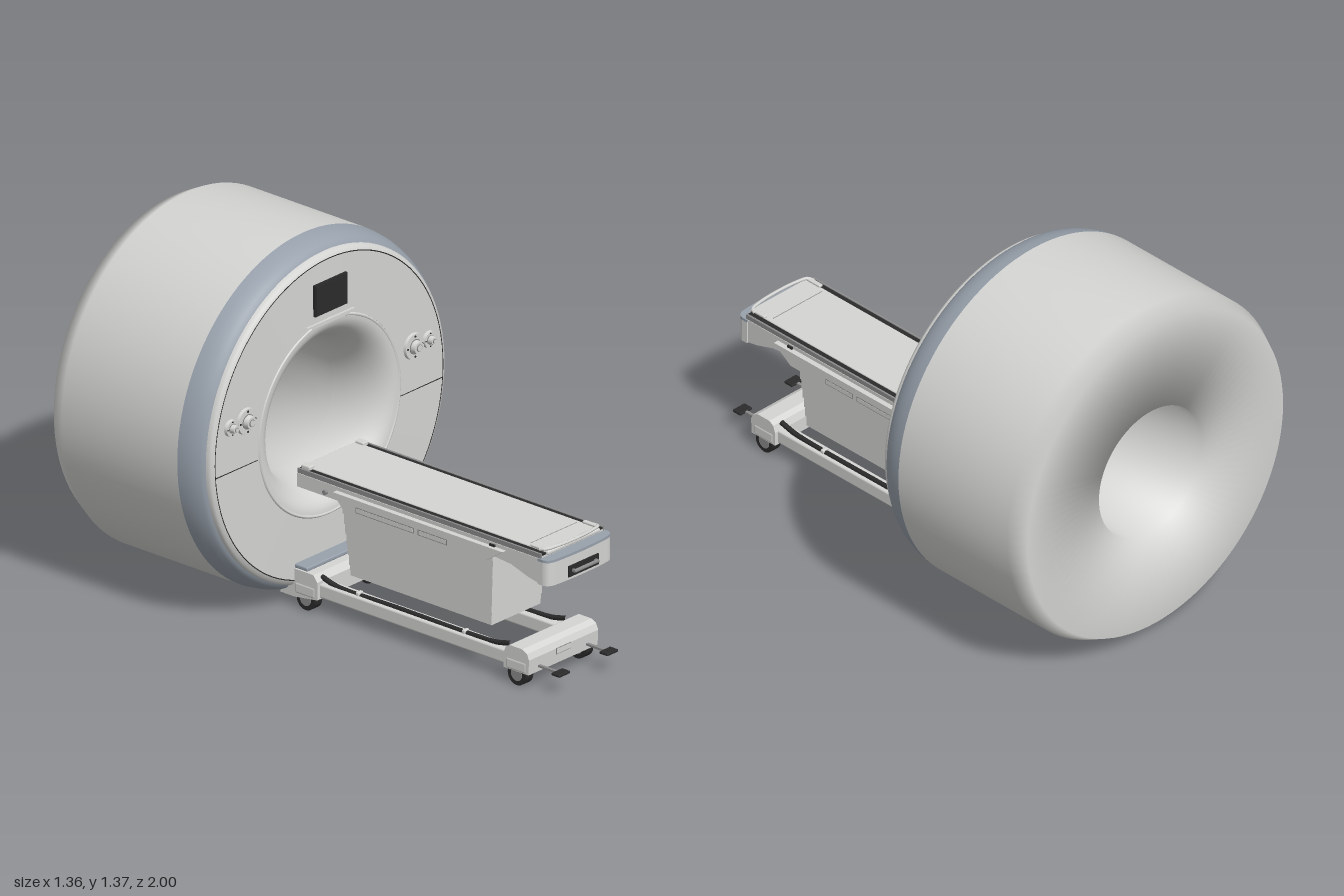
import * as THREE from 'three';
import { RoundedBoxGeometry } from 'three/addons/geometries/RoundedBoxGeometry.js';

const mat = (name, color) => Object.assign(new THREE.MeshStandardMaterial({ color }), { name });

export function createModel() {
  const shell = mat('shell grey', 0xd5d5d3);
  const trim = mat('blue grey trim', 0x98a1ac);
  const dark = mat('dark rubber', 0x2b2b2b);
  const metal = mat('mid grey', 0x8c8c8c);
  const model = new THREE.Group();
  model.name = 'scanner';

  const add = (name, geo, m, x = 0, y = 0, z = 0) => {
    const mesh = new THREE.Mesh(geo, m);
    mesh.name = name;
    mesh.position.set(x, y, z);
    model.add(mesh);
    return mesh;
  };
  const box = (name, w, h, d, m, x, y, z, r = 0) => add(name,
    r ? new RoundedBoxGeometry(w, h, d, 3, r) : new THREE.BoxGeometry(w, h, d), m, x, y, z);
  // surface of revolution about the z axis; profile points are (radius, z)
  const CY = 0.69;
  const ring = (name, pts, m) => add(name, new THREE.LatheGeometry(
    pts.map(p => new THREE.Vector2(p[0], p[1])), 96).rotateX(Math.PI / 2), m, 0, CY, 0);
  // side outline in (z, y), extruded across the width
  const sideProfile = (name, pts, w, m, x = 0) => {
    const shape = new THREE.Shape(pts.map(p => new THREE.Vector2(p[0], p[1])));
    const geo = new THREE.ExtrudeGeometry(shape, { depth: w, bevelEnabled: false });
    return add(name, geo.translate(0, 0, -w / 2).rotateY(-Math.PI / 2), m, x);
  };
  // disc or knob facing the front
  const disc = (name, r1, r2, h, m, x, y, z, n = 32) =>
    add(name, new THREE.CylinderGeometry(r2, r1, h, n).rotateX(Math.PI / 2), m, x, y, z);

  // ---- Gantry: bore, back face and drum share soft normals
  ring('gantryShell', [[0.26, -0.46], [0.26, -0.975], [0.645, -1.0], [0.68, -0.93], [0.68, -0.375]], shell);
  ring('gantryTrimRing', [[0.68, -0.375], [0.676, -0.345], [0.667, -0.315], [0.655, -0.29],
    [0.645, -0.279], [0.634, -0.274]], trim);
  ring('frontPanelEdge', [[0.638, -0.282], [0.637, -0.266], [0.631, -0.256], [0.618, -0.25]], shell);
  ring('panelGap', [[0.618, -0.25], [0.614, -0.25]], dark);
  ring('frontPanel', [[0.614, -0.25], [0.385, -0.248]], shell);
  ring('boreLip', [[0.385, -0.25], [0.383, -0.245], [0.378, -0.243], [0.374, -0.247]], shell);
  const mouth = [];
  for (let i = 0; i <= 16; i++) {
    const a = (i / 16) * Math.PI / 2;
    mouth.push([0.374 - 0.114 * Math.sin(a), -0.46 + 0.213 * Math.cos(a)]);
  }
  ring('boreMouth', mouth, shell);
  for (const s of [-1, 1]) box('panelSeam', 0.23, 0.003, 0.004, dark, s * 0.5, 0.64, -0.25);

  // ---- Display and ledge
  box('displayFrame', 0.174, 0.122, 0.016, dark, 0, 1.165, -0.246);
  box('displayScreen', 0.164, 0.112, 0.004, dark, 0, 1.165, -0.237);
  const ledge = new THREE.Shape([[-0.127, 0.014], [-0.095, 0], [0.095, 0], [0.127, 0.014]]
    .map(p => new THREE.Vector2(...p)));
  add('displayLedge', new THREE.ExtrudeGeometry(ledge, { depth: 0.02, bevelEnabled: false }),
    shell, 0, 1.06, -0.258);

  // ---- Control dials on both sides
  for (const s of [-1, 1]) {
    for (const [x, r] of [[0.452, 0.052], [0.535, 0.033]]) {
      disc('dialPlate', r, r - 0.003, 0.014, shell, s * x, 0.815, -0.245);
      disc('dialGroove', r * 0.56, r * 0.56, 0.012, metal, s * x, 0.815, -0.242);
      disc('dialKnob', r * 0.53, r * 0.44, 0.026, shell, s * x, 0.815, -0.231);
      disc('dialCapRim', r * 0.27, r * 0.27, 0.003, metal, s * x, 0.815, -0.217);
      disc('dialCap', r * 0.22, r * 0.22, 0.004, shell, s * x, 0.815, -0.216);
      for (let i = 0; i < 4; i++) {
        const a = i * Math.PI / 2;
        disc('dialButton', r * 0.08, r * 0.08, 0.004, dark,
          s * x + Math.cos(a) * r * 0.76, 0.815 + Math.sin(a) * r * 0.76, -0.238, 10);
      }
    }
  }

  // ---- Patient table
  sideProfile('tableFrame', [[0.92, 0.52], [-0.25, 0.52], [-0.25, 0.467], [0.7, 0.467],
    [0.78, 0.46], [0.86, 0.434], [0.92, 0.422]], 0.344, shell);
  // head end, rounded in plan
  const head = new THREE.Shape();
  head.moveTo(-0.177, -0.91);
  head.lineTo(-0.177, -0.935);
  head.quadraticCurveTo(-0.172, -0.96, -0.14, -0.964);
  head.quadraticCurveTo(0, -0.976, 0.14, -0.964);
  head.quadraticCurveTo(0.172, -0.96, 0.177, -0.935);
  head.lineTo(0.177, -0.91);
  const headPart = (name, h, m, y) => add(name, new THREE.ExtrudeGeometry(head,
    { depth: h, bevelEnabled: false, curveSegments: 8 }).rotateX(-Math.PI / 2), m, 0, y, 0);
  headPart('headEnd', 0.09, shell, 0.422);
  headPart('headEndTrim', 0.01, trim, 0.512);
  box('gripRecess', 0.162, 0.042, 0.006, dark, 0, 0.456, 0.973);
  box('gripBar', 0.13, 0.012, 0.012, metal, 0, 0.458, 0.988, 0.004);
  for (const s of [-1, 1]) box('gripPost', 0.01, 0.01, 0.024, metal, s * 0.06, 0.458, 0.977);

  box('tableDeck', 0.33, 0.012, 1.17, shell, 0, 0.524, 0.335);
  box('tableTop', 0.284, 0.014, 1.18, shell, 0, 0.535, 0.34, 0.005);
  for (const s of [-1, 1]) {
    box('topRail', 0.02, 0.01, 1.17, dark, s * 0.152, 0.532, 0.335);
    box('topRailLip', 0.008, 0.018, 1.17, metal, s * 0.167, 0.53, 0.335);
    box('cornerStop', 0.018, 0.01, 0.07, shell, s * 0.14, 0.547, 0.885, 0.004);
    box('rearStop', 0.03, 0.018, 0.04, shell, s * 0.145, 0.543, -0.222, 0.005);
    // side apron with two recessed grips
    sideProfile('sideApron', [[0.755, 0.506], [-0.06, 0.506], [-0.01, 0.447], [0.67, 0.447]],
      0.024, shell, s * 0.181);
    for (const [z, len] of [[0.42, 0.14], [0.19, 0.28]]) {
      box('gripSlot', 0.004, 0.022, len, metal, s * 0.193, 0.468, z);
      box('gripInset', 0.006, 0.016, len - 0.008, shell, s * 0.193, 0.468, z);
    }
    add('sideBolt', new THREE.CylinderGeometry(0.009, 0.009, 0.014, 12).rotateZ(Math.PI / 2),
      metal, s * 0.178, 0.487, -0.11);
    box('railClip', 0.012, 0.012, 0.025, dark, s * 0.173, 0.508, 0.69);
  }
  const endStop = new THREE.CatmullRomCurve3([[-0.15, 0.545, 0.895], [-0.14, 0.549, 0.918], [-0.09, 0.55, 0.93],
    [0, 0.55, 0.935], [0.09, 0.55, 0.93], [0.14, 0.549, 0.918], [0.15, 0.545, 0.895]]
    .map(p => new THREE.Vector3(...p)));
  add('endStop', new THREE.TubeGeometry(endStop, 32, 0.006, 8), shell);
  box('topSeam', 0.25, 0.002, 0.003, metal, 0, 0.5415, 0.83);

  // ---- Bellows: tiers stepping inward towards the floor
  const tiers = 7, y0 = 0.17, h = 0.04;
  for (let i = 0; i < tiers; i++) {
    const t = (i + 1) / tiers;
    const geo = new THREE.BoxGeometry(0.262 + 0.04 * t, h, 0.672 + 0.05 * t);
    const p = geo.attributes.position;
    for (let k = 0; k < p.count; k++) {
      if (p.getY(k) < 0) p.setX(k, p.getX(k) * 0.99);
    }
    add('bellowsTier', geo, shell, 0, y0 + h * (i + 0.5), 0.31);
  }

  // ---- Wheeled base
  sideProfile('frontCrossBeam', [[0.875, 0.056], [0.878, 0.115], [0.868, 0.138], [0.845, 0.15],
    [0.785, 0.15], [0.765, 0.138], [0.755, 0.11], [0.755, 0.056]], 0.374, shell);
  sideProfile('rearCrossBeam', [[-0.14, 0.056], [-0.14, 0.125], [-0.16, 0.15], [-0.27, 0.15],
    [-0.32, 0.04], [-0.25, 0.04]], 0.374, shell);
  box('dockingPlate', 0.37, 0.016, 0.09, trim, 0, 0.16, -0.235, 0.005);
  box('badgePlateRim', 0.08, 0.024, 0.004, metal, 0, 0.104, 0.877);
  box('badgePlate', 0.075, 0.019, 0.006, shell, 0, 0.104, 0.877);
  for (const s of [-1, 1]) {
    box('baseRail', 0.056, 0.055, 0.93, shell, s * 0.145, 0.088, 0.305, 0.008);
    const cable = new THREE.CatmullRomCurve3([[0.76, 0.138], [0.69, 0.122], [0.6, 0.117], [0.2, 0.117],
      [-0.08, 0.117], [-0.15, 0.135]].map(([z, y]) => new THREE.Vector3(s * 0.15, y, z)));
    add('railCable', new THREE.TubeGeometry(cable, 32, 0.01, 8), dark);
    for (const z of [0.54, 0.03]) box('cableClip', 0.028, 0.026, 0.016, shell, s * 0.15, 0.117, z, 0.005);
    for (const z of [0.815, -0.2]) {
      add('casterWheel', new THREE.CylinderGeometry(0.043, 0.043, 0.042, 24).rotateZ(Math.PI / 2),
        dark, s * 0.162, 0.043, z);
      add('casterHub', new THREE.CylinderGeometry(0.026, 0.026, 0.046, 20).rotateZ(Math.PI / 2),
        metal, s * 0.162, 0.043, z);
      box('casterHousing', 0.05, 0.05, 0.105, shell, s * 0.164, 0.078, z, 0.012);
    }
    // brake pedals
    box('pedalArm', 0.012, 0.008, 0.1, metal, s * 0.13, 0.077, 0.92);
    box('pedalPad', 0.06, 0.01, 0.04, dark, s * 0.13, 0.078, 0.98, 0.003);
  }
  return model;
}
